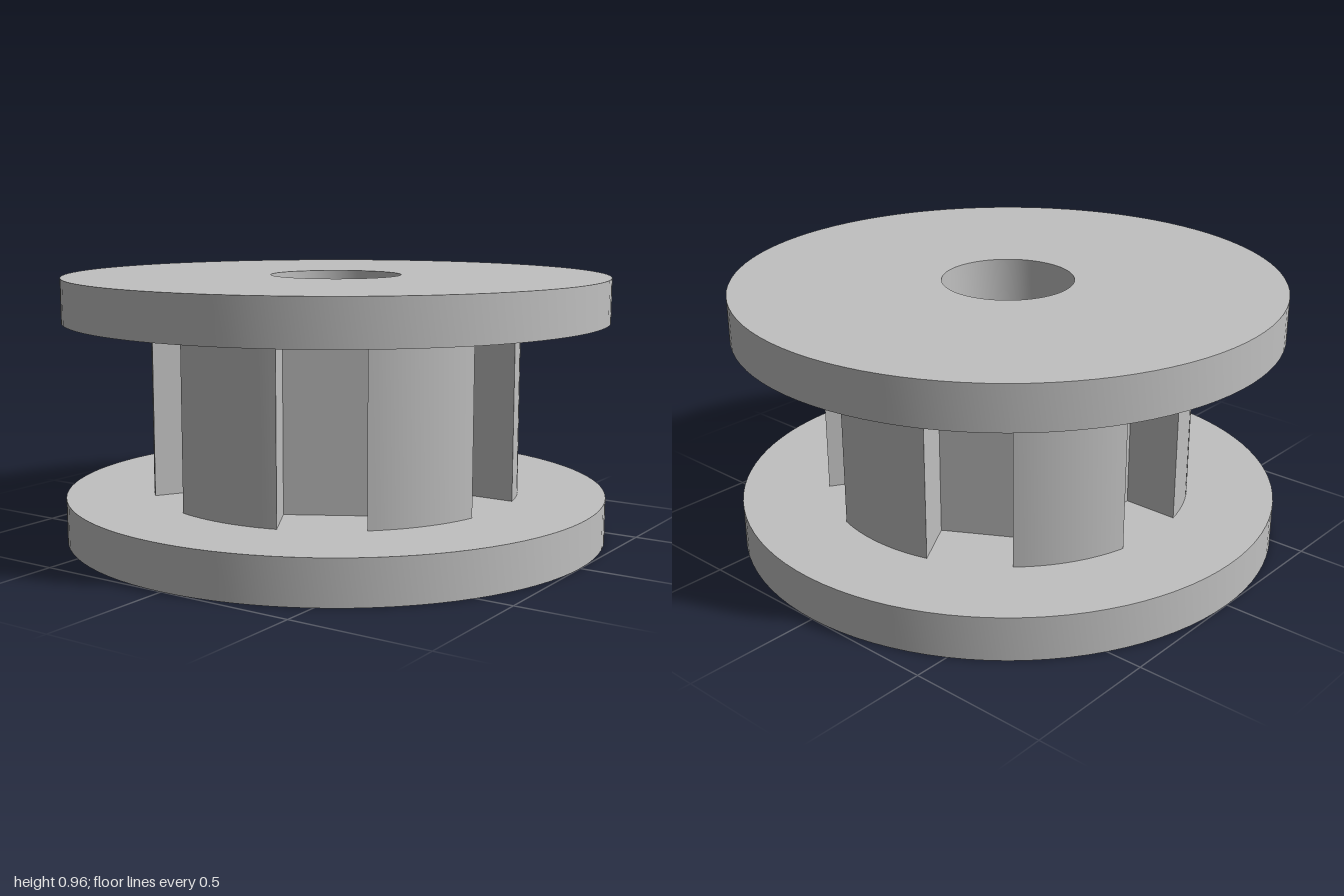
import * as THREE from 'three';
import { toCreasedNormals } from 'three/addons/utils/BufferGeometryUtils.js';

const FLANGE_R = 1, HOLE_R = 0.24, LOBE_R = 0.68;
const FLANGE_H = 0.16, CORE_H = 0.64;
const SLOT_HALF = 0.15, SLOT_FLOOR = 0.457; // slot half width and floor distance from the axis

// Upright plate with a round bore, smooth on curves and sharp at corners
function boredPlate(shape, height, y, name, material) {
  const bore = new THREE.Path();
  bore.absarc(0, 0, HOLE_R, 0, Math.PI * 2, true);
  shape.holes.push(bore);
  const geo = new THREE.ExtrudeGeometry(shape, { depth: height, bevelEnabled: false, curveSegments: 48 });
  geo.rotateX(-Math.PI / 2);
  const mesh = new THREE.Mesh(toCreasedNormals(geo, Math.PI / 6), material);
  mesh.position.y = y;
  mesh.name = name;
  return mesh;
}

function disc() {
  const s = new THREE.Shape();
  s.absarc(0, 0, FLANGE_R, 0, Math.PI * 2, false);
  return s;
}

// Six arc lobes separated by straight-sided, flat-bottomed slots
function lobedOutline() {
  const pts = [];
  const half = Math.asin(SLOT_HALF / LOBE_R);
  const arcSteps = 12;
  for (let i = 0; i < 6; i++) {
    const a = i * Math.PI / 3; // slot direction
    const dir = new THREE.Vector2(Math.cos(a), Math.sin(a));
    const side = new THREE.Vector2(-dir.y, dir.x);
    for (const s of [-1, 1]) {
      pts.push(dir.clone().multiplyScalar(SLOT_FLOOR).addScaledVector(side, s * SLOT_HALF));
    }
    const sweep = Math.PI / 3 - 2 * half;
    for (let k = 0; k <= arcSteps; k++) {
      const t = a + half + sweep * k / arcSteps;
      pts.push(new THREE.Vector2(Math.cos(t) * LOBE_R, Math.sin(t) * LOBE_R));
    }
  }
  return new THREE.Shape(pts);
}

export function createModel() {
  const model = new THREE.Group();
  model.name = 'spool';
  const grey = new THREE.MeshStandardMaterial({ color: 0xc0c0c0 });
  grey.name = 'light grey';

  model.add(
    boredPlate(disc(), FLANGE_H, 0, 'bottomFlange', grey),
    boredPlate(lobedOutline(), CORE_H, FLANGE_H, 'slottedCore', grey),
    boredPlate(disc(), FLANGE_H, FLANGE_H + CORE_H, 'topFlange', grey),
  );
  return model;
}
